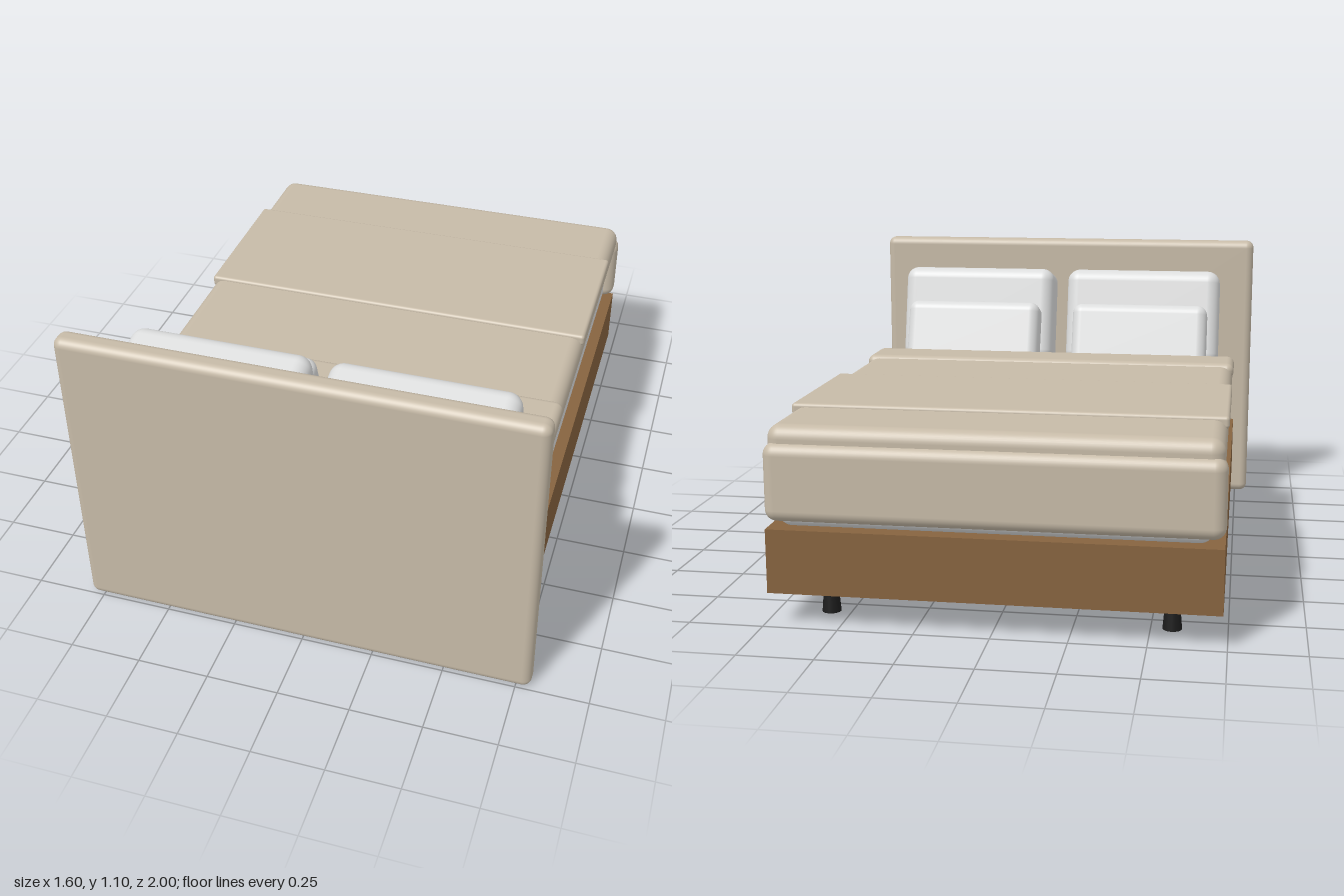
import * as THREE from 'three';
import { RoundedBoxGeometry } from 'three/addons/geometries/RoundedBoxGeometry.js';

const material = (name, color) => {
  const m = new THREE.MeshStandardMaterial({ color });
  m.name = name;
  return m;
};

export function createModel() {
  const bed = new THREE.Group();
  bed.name = 'bed';
  const beige = material('beige fabric', 0xc6baa7);
  const white = material('white linen', 0xdcdddd);
  const wood = material('brown wood', 0x86633f);
  const black = material('black leg', 0x1c1c1c);

  const add = (name, geometry, mat, x, y, z) => {
    const mesh = new THREE.Mesh(geometry, mat);
    mesh.name = name;
    mesh.position.set(x, y, z);
    bed.add(mesh);
    return mesh;
  };
  // Soft block centred on x, given by its half width and its y and z ranges
  const slab = (name, mat, half, [y0, y1], [z0, z1], radius) =>
    add(name, new RoundedBoxGeometry(half * 2, y1 - y0, z1 - z0, 5, radius),
      mat, 0, (y0 + y1) / 2, (z0 + z1) / 2);

  // Headboard and base
  slab('headboard', beige, 0.8, [0, 1.1], [0.92, 1], 0.03);
  add('frame', new THREE.BoxGeometry(1.47, 0.215, 1.905), wood, 0, 0.2175, -0.0325);
  slab('mattress', white, 0.7, [0.33, 0.58], [-0.98, 0.89], 0.045);

  // Bedding
  slab('duvet', beige, 0.73, [0.555, 0.665], [-0.975, 0.495], 0.045);
  slab('duvetFold', beige, 0.735, [0.615, 0.677], [0.29, 0.498], 0.028);
  slab('throwBlanket', beige, 0.735, [0.635, 0.677], [-0.68, -0.11], 0.012);
  slab('duvetFootDrop', beige, 0.738, [0.35, 0.61], [-1, -0.9], 0.04);

  // Mirrored pillows, leaning back, and tapered legs
  const bigPillow = new RoundedBoxGeometry(0.635, 0.394, 0.203, 6, 0.05);
  const smallPillow = new RoundedBoxGeometry(0.55, 0.28, 0.135, 6, 0.04);
  const leg = new THREE.CylinderGeometry(0.022, 0.032, 0.112, 16);
  for (const [side, s] of [['left', 1], ['right', -1]]) {
    add(side + 'BackPillow', bigPillow, white, s * 0.3475, 0.785, 0.74).rotation.x = 0.24;
    add(side + 'FrontPillow', smallPillow, white, s * 0.345, 0.723, 0.562).rotation.x = 0.33;
    add(side + 'HeadLeg', leg, black, s * 0.57, 0.056, 0.765);
    add(side + 'FootLeg', leg, black, s * 0.57, 0.056, -0.82);
  }
  return bed;
}
